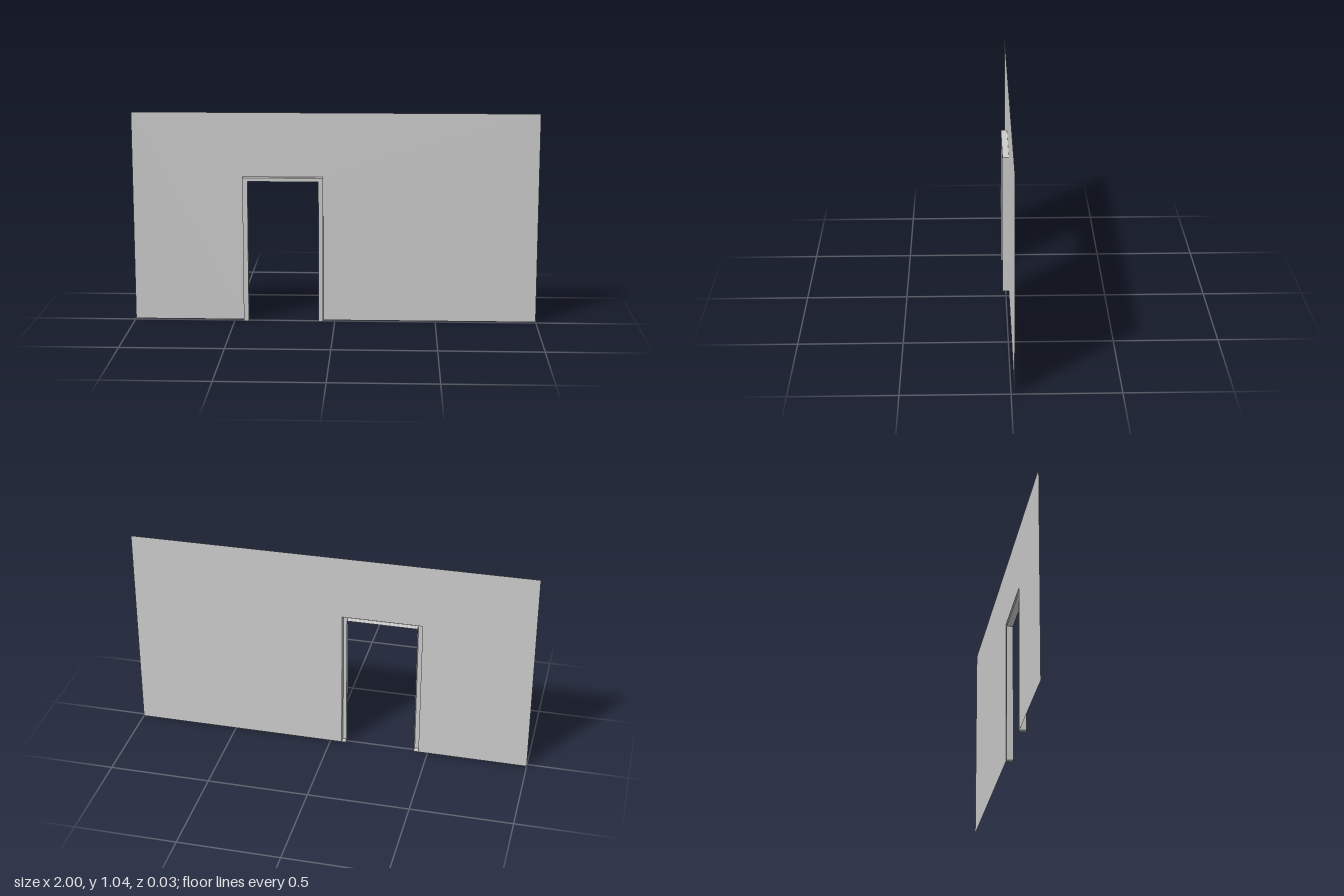
import * as THREE from 'three';

const BACK = -0.016, FRONT = 0.016;
const WALL_HEIGHT = 1.045;
// Door frame: outer and inner edges
const OUT = { left: -0.454, right: -0.058, top: 0.727 };
const INN = { left: -0.429, right: -0.081, top: 0.708 };

const material = new THREE.MeshStandardMaterial({ color: 0xcccccc, side: THREE.DoubleSide });

function flatPanel(name, points, z) {
  const shape = new THREE.Shape(points.map(([x, y]) => new THREE.Vector2(x, y)));
  const mesh = new THREE.Mesh(new THREE.ShapeGeometry(shape), material);
  mesh.name = name;
  mesh.position.z = z;
  return mesh;
}

// Sides of a counter-clockwise outline, swept from back to front without caps
function outlineSides(name, points) {
  const positions = [];
  points.forEach(([ax, ay], i) => {
    const [bx, by] = points[(i + 1) % points.length];
    positions.push(
      ax, ay, BACK, bx, by, BACK, bx, by, FRONT,
      ax, ay, BACK, bx, by, FRONT, ax, ay, FRONT
    );
  });
  const geometry = new THREE.BufferGeometry();
  geometry.setAttribute('position', new THREE.Float32BufferAttribute(positions, 3));
  geometry.computeVertexNormals();
  const mesh = new THREE.Mesh(geometry, material);
  mesh.name = name;
  return mesh;
}

export function createModel() {
  const model = new THREE.Group();
  model.name = 'wallWithDoorway';

  // Thin wall, cut out around the outside of the frame
  model.add(flatPanel('wall', [
    [-1, 0], [OUT.left, 0], [OUT.left, OUT.top], [OUT.right, OUT.top],
    [OUT.right, 0], [1, 0], [1, WALL_HEIGHT], [-1, WALL_HEIGHT],
  ], BACK));

  // Hollow door frame standing forward of the wall, open at the back
  const outline = [
    [OUT.left, 0], [INN.left, 0], [INN.left, INN.top], [INN.right, INN.top],
    [INN.right, 0], [OUT.right, 0], [OUT.right, OUT.top], [OUT.left, OUT.top],
  ];
  const frame = new THREE.Group();
  frame.name = 'doorFrame';
  frame.add(flatPanel('frameFace', outline, FRONT), outlineSides('frameSides', outline));
  model.add(frame);

  return model;
}
